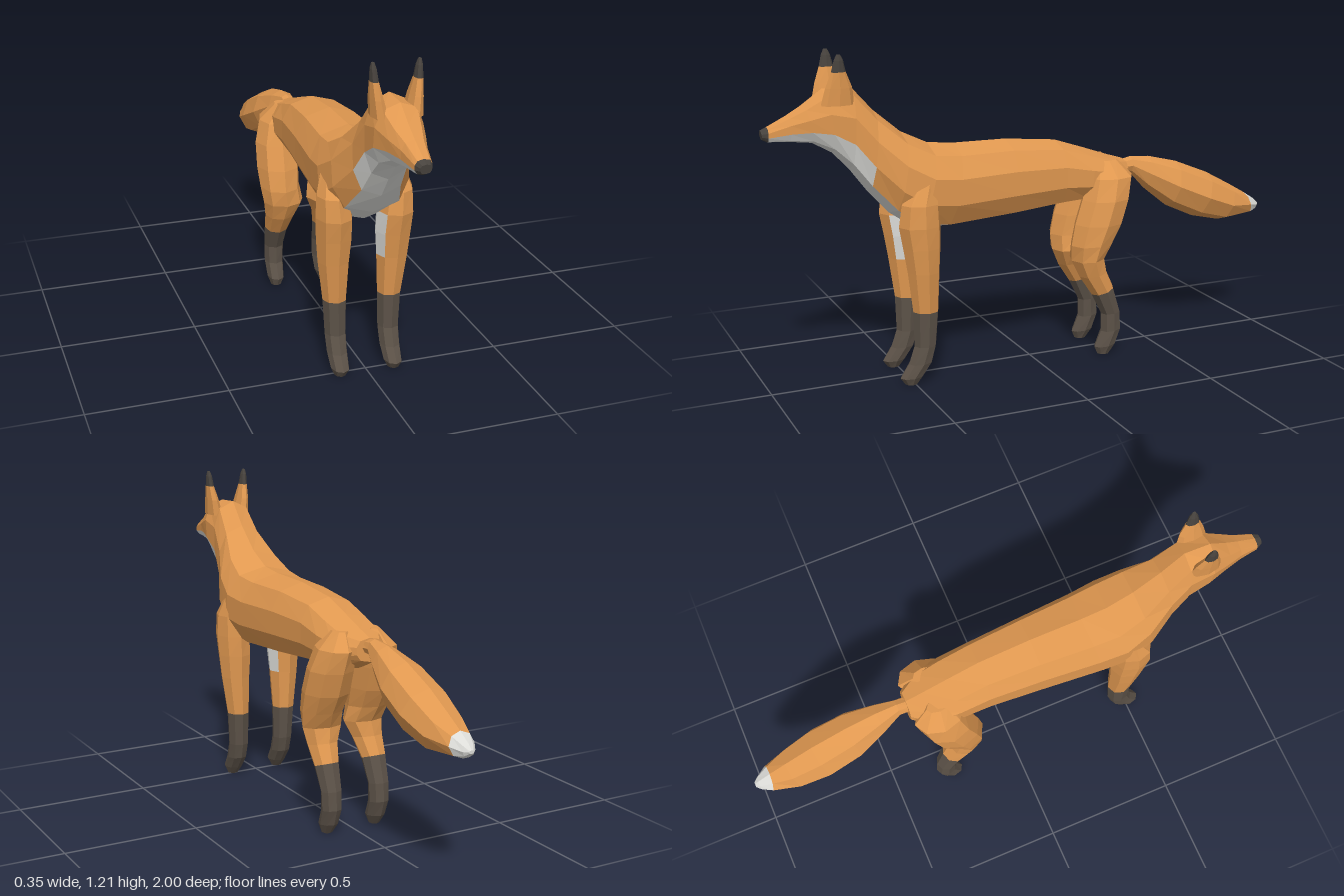
import * as THREE from 'three';

const mat = (name, color) => {
  const m = new THREE.MeshStandardMaterial({ color });
  m.name = name;
  return m;
};

// Material slots used by the paint rules
const ORANGE = 0, WHITE = 1, SOCK = 2, DARK = 3;

// Lofts faceted rings. A ring is [zA, yA, zB, yB, xMin, xMax]: A and B are opposite
// points in the side plane, xMin and xMax the sideways extent.
// paint(segment, side) picks the material slot; segment -1 and the last are end caps.
function loft(name, materials, rings, sides, paint, square = 1) {
  const points = rings.map(([zA, yA, zB, yB, x0, x1]) => {
    const ring = [];
    for (let k = 0; k < sides; k++) {
      const a = (k / sides) * Math.PI * 2;
      const c = Math.cos(a), s = Math.sin(a);
      const sx = Math.sign(s) * Math.pow(Math.abs(s), square);
      ring.push(new THREE.Vector3(
        (x0 + x1) / 2 + (sx * (x1 - x0)) / 2,
        (yA + yB) / 2 + (c * (yA - yB)) / 2,
        (zA + zB) / 2 + (c * (zA - zB)) / 2));
    }
    return ring;
  });
  const buckets = materials.map(() => []);
  const tri = (slot, ...corners) => corners.forEach((p) => buckets[slot].push(p.x, p.y, p.z));
  const middle = (ring) => ring.reduce((sum, p) => sum.add(p), new THREE.Vector3()).divideScalar(sides);
  const last = points.length - 1;
  const startMid = middle(points[0]), endMid = middle(points[last]);
  for (let k = 0; k < sides; k++) {
    const n = (k + 1) % sides;
    tri(paint(-1, k), startMid, points[0][n], points[0][k]);
    tri(paint(last, k), endMid, points[last][k], points[last][n]);
    for (let i = 0; i < last; i++) {
      const a = points[i][k], b = points[i][n], c = points[i + 1][n], d = points[i + 1][k];
      tri(paint(i, k), a, b, c);
      tri(paint(i, k), a, c, d);
    }
  }
  const geometry = new THREE.BufferGeometry();
  geometry.setAttribute('position', new THREE.Float32BufferAttribute(buckets.flat(), 3));
  let start = 0;
  buckets.forEach((b, slot) => {
    if (b.length) geometry.addGroup(start, b.length / 3, slot);
    start += b.length / 3;
  });
  geometry.computeVertexNormals();
  const mesh = new THREE.Mesh(geometry, materials);
  mesh.name = name;
  return mesh;
}

export function createModel() {
  const fox = new THREE.Group();
  fox.name = 'fox';
  const materials = [
    mat('orangeFur', 0xe09850), mat('whiteFur', 0xdcdcd8),
    mat('brownSock', 0x5c5248), mat('darkNoseAndEar', 0x48433e),
  ];
  const symmetric = (rings) => rings.map(([a, b, c, d, w]) => [a, b, c, d, -w, w]);
  const mirrored = (rings, side) =>
    rings.map(([a, b, c, d, x0, x1]) => (side > 0 ? [a, b, c, d, x0, x1] : [a, b, c, d, -x1, -x0]));

  // Head, neck and body in one skin, from nose to rump
  const body = symmetric([
    [0.998, 0.962, 0.994, 0.93, 0.02],
    [0.975, 0.972, 0.975, 0.92, 0.03],
    [0.90, 1.01, 0.90, 0.915, 0.045],
    [0.85, 1.04, 0.82, 0.905, 0.065],
    [0.78, 1.09, 0.75, 0.865, 0.085],
    [0.68, 1.095, 0.69, 0.80, 0.086],
    [0.60, 1.005, 0.63, 0.72, 0.10],
    [0.50, 0.92, 0.55, 0.63, 0.142],
    [0.40, 0.872, 0.47, 0.575, 0.16],
    [0.30, 0.862, 0.36, 0.56, 0.152],
    [0.10, 0.86, 0.10, 0.575, 0.135],
    [-0.10, 0.84, -0.10, 0.595, 0.122],
    [-0.22, 0.80, -0.20, 0.605, 0.12],
    [-0.32, 0.765, -0.31, 0.62, 0.11],
    [-0.385, 0.745, -0.39, 0.66, 0.055],
  ]);
  fox.add(loft('body', materials, body, 10, (i, k) => {
    if (i < 1) return DARK;
    const under = k === 4 || k === 5, cheek = k === 3 || k === 6;
    return (under && i <= 8) || (cheek && i <= 5) ? WHITE : ORANGE;
  }, 0.7));

  // Bushy tail with a white tip
  const tail = symmetric([
    [-0.36, 0.735, -0.385, 0.69, 0.03],
    [-0.42, 0.748, -0.42, 0.685, 0.03],
    [-0.50, 0.742, -0.48, 0.62, 0.055],
    [-0.62, 0.712, -0.58, 0.54, 0.088],
    [-0.76, 0.655, -0.70, 0.485, 0.096],
    [-0.87, 0.595, -0.82, 0.457, 0.08],
    [-0.935, 0.557, -0.955, 0.47, 0.05],
    [-0.985, 0.525, -0.985, 0.482, 0.025],
    [-1.0, 0.51, -1.0, 0.497, 0.01],
  ]);
  fox.add(loft('tail', materials, tail, 8, (i) => (i >= 6 ? WHITE : ORANGE)));

  // Legs and ears, listed from the bottom up for the left side
  const frontLeg = [
    [0.535, 0.01, 0.49, 0.01, 0.08, 0.12],
    [0.553, 0.035, 0.465, 0.04, 0.066, 0.132],
    [0.52, 0.085, 0.43, 0.09, 0.062, 0.136],
    [0.497, 0.15, 0.415, 0.15, 0.06, 0.138],
    [0.50, 0.28, 0.405, 0.28, 0.058, 0.145],
    [0.52, 0.43, 0.40, 0.43, 0.05, 0.165],
    [0.535, 0.52, 0.395, 0.52, 0.043, 0.173],
    [0.55, 0.60, 0.395, 0.60, 0.045, 0.177],
    [0.54, 0.68, 0.40, 0.68, 0.06, 0.173],
    [0.47, 0.79, 0.40, 0.79, 0.07, 0.14],
  ];
  const hindLeg = [
    [-0.24, 0.012, -0.285, 0.01, 0.08, 0.12],
    [-0.228, 0.04, -0.315, 0.05, 0.066, 0.132],
    [-0.255, 0.10, -0.335, 0.11, 0.062, 0.136],
    [-0.255, 0.17, -0.33, 0.18, 0.06, 0.138],
    [-0.215, 0.25, -0.30, 0.28, 0.052, 0.145],
    [-0.165, 0.325, -0.272, 0.345, 0.035, 0.153],
    [-0.135, 0.39, -0.262, 0.40, 0.008, 0.163],
    [-0.13, 0.45, -0.295, 0.46, 0.018, 0.172],
    [-0.145, 0.53, -0.335, 0.53, 0.012, 0.177],
    [-0.175, 0.62, -0.365, 0.62, 0.01, 0.173],
    [-0.20, 0.70, -0.385, 0.70, 0.015, 0.15],
    [-0.24, 0.76, -0.33, 0.76, 0.04, 0.09],
  ];
  const ear = [
    [0.80, 1.04, 0.68, 1.04, 0.03, 0.085],
    [0.785, 1.10, 0.69, 1.10, 0.046, 0.087],
    [0.765, 1.155, 0.713, 1.155, 0.06, 0.088],
    [0.755, 1.195, 0.722, 1.195, 0.066, 0.088],
    [0.746, 1.215, 0.732, 1.215, 0.073, 0.084],
  ];
  for (const [side, label] of [[1, 'left'], [-1, 'right']]) {
    const inner = side > 0 ? [5, 6] : [1, 2];
    fox.add(loft(label + 'FrontLeg', materials, mirrored(frontLeg, side), 8, (i, k) => {
      if (i < 4) return SOCK;
      return (i === 5 || i === 6) && inner.includes(k) ? WHITE : ORANGE;
    }));
    fox.add(loft(label + 'HindLeg', materials, mirrored(hindLeg, side), 8,
      (i) => (i < 4 ? SOCK : ORANGE)));
    fox.add(loft(label + 'Ear', materials, mirrored(ear, side), 8,
      (i) => (i >= 2 ? DARK : ORANGE)));
  }
  return fox;
}
